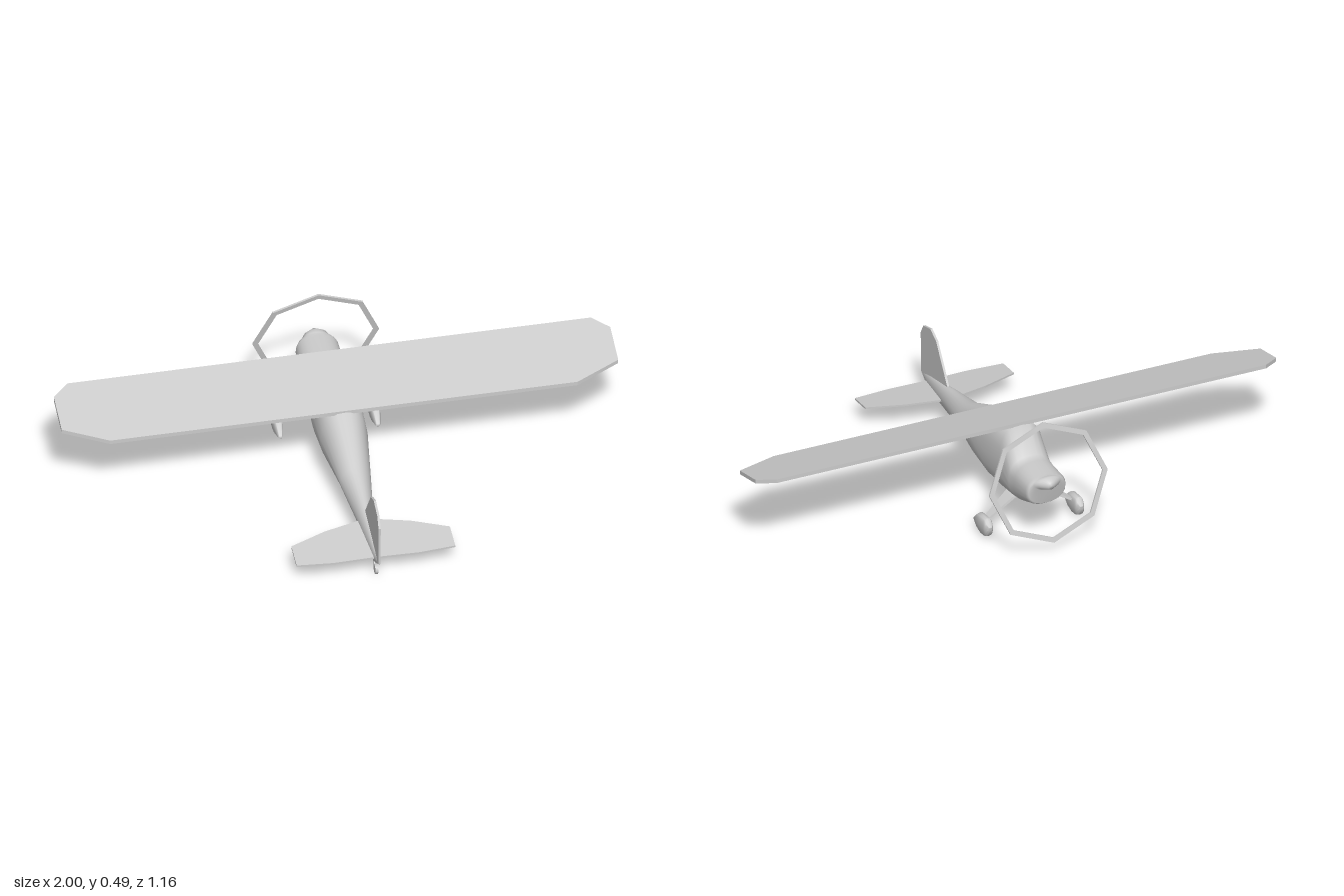
import * as THREE from 'three';
import { toCreasedNormals } from 'three/addons/utils/BufferGeometryUtils.js';

const material = new THREE.MeshStandardMaterial({ color: 0xcccccc, side: THREE.DoubleSide });

function part(name, geometry) {
  const mesh = new THREE.Mesh(geometry, material);
  mesh.name = name;
  return mesh;
}

// Loft of superellipse sections running from +z to -z.
// Section: [z, bottom y, top y, half width, roundness (2 = ellipse), half width at the top / half width]
function loft(sections, sides, x0 = 0) {
  const pos = [], index = [];
  for (const [z, yb, yt, w, n, topScale = 1] of sections) {
    for (let j = 0; j < sides; j++) {
      const a = (j / sides) * Math.PI * 2;
      const c = Math.cos(a), s = Math.sin(a);
      const u = Math.sign(c) * Math.abs(c) ** (2 / n);
      const v = Math.sign(s) * Math.abs(s) ** (2 / n);
      const narrow = 1 + (topScale - 1) * Math.max(0, v);
      pos.push(x0 + u * w * narrow, (yb + yt) / 2 + (v * (yt - yb)) / 2, z);
    }
  }
  for (let i = 0; i < sections.length - 1; i++) {
    for (let j = 0; j < sides; j++) {
      const k = (j + 1) % sides;
      const a = i * sides + j, b = (i + 1) * sides + j;
      const c = i * sides + k, d = (i + 1) * sides + k;
      index.push(a, b, c, c, b, d);
    }
  }
  const g = new THREE.BufferGeometry();
  g.setAttribute('position', new THREE.Float32BufferAttribute(pos, 3));
  g.setIndex(index);
  g.computeVertexNormals();
  return g;
}

function extrude(points, depth) {
  const shape = new THREE.Shape(points.map(([x, y]) => new THREE.Vector2(x, y)));
  return new THREE.ExtrudeGeometry(shape, { depth, bevelEnabled: false });
}

// Flat symmetric surface from its right-hand plan (x, z), tilted along z
function tiltedPlan(half, thickness, yAt) {
  const mirrored = half.map(([x, z]) => [-x, z]).reverse();
  const g = extrude([...half, ...mirrored], thickness).rotateX(Math.PI / 2);
  const p = g.attributes.position;
  for (let i = 0; i < p.count; i++) p.setY(i, p.getY(i) + yAt(p.getZ(i)));
  g.computeVertexNormals();
  return g;
}

// Box whose top and bottom faces have their own centre and size: [x, y, z, width, length]
function strut(top, bottom) {
  const g = new THREE.BoxGeometry(1, 1, 1);
  const p = g.attributes.position;
  for (let i = 0; i < p.count; i++) {
    const [x, y, z, w, l] = p.getY(i) > 0 ? top : bottom;
    p.setXYZ(i, x + p.getX(i) * w, y, z + p.getZ(i) * l);
  }
  g.computeVertexNormals();
  return g;
}

export function createModel() {
  const model = new THREE.Group();
  model.name = 'airplane';

  // Body from tail to nose, with the cabin rising to the wing
  model.add(part('fuselage', loft([
    [0.575, 0.083, 0.09, 0.002, 2],
    [0.515, 0.049, 0.11, 0.01, 2],
    [0.31, 0.065, 0.165, 0.033, 2],
    [0.16, 0.097, 0.198, 0.056, 2.2, 0.8],
    [-0.0375, 0.09, 0.297, 0.085, 2.6, 0.8],
    [-0.16, 0.092, 0.332, 0.09, 3, 0.9],
    [-0.29, 0.103, 0.374, 0.088, 3, 0.85],
    [-0.37, 0.116, 0.286, 0.082, 2.5],
    [-0.41, 0.125, 0.286, 0.08, 2.4],
    [-0.505, 0.168, 0.288, 0.077, 2.4],
    [-0.518, 0.178, 0.288, 0.07, 2.3],
    [-0.522, 0.235, 0.29, 0.052, 2],
    [-0.537, 0.243, 0.293, 0.042, 2],
    [-0.558, 0.254, 0.282, 0.012, 2],
    [-0.56, 0.268, 0.268, 0, 2],
  ], 24)));

  // Wing with clipped tips
  model.add(part('wing', tiltedPlan(
    [[0.94, -0.294], [1, -0.245], [1, -0.107], [0.84, -0.0375]],
    0.015,
    (z) => 0.304 + ((-0.0375 - z) / 0.2565) * 0.077)));

  // Tail surfaces
  model.add(part('tailplane', tiltedPlan(
    [[0.03, 0.345], [0.155, 0.375], [0.285, 0.425], [0.285, 0.518], [0.155, 0.528], [0.02, 0.525]],
    0.007,
    (z) => 0.11 - ((z - 0.34) / 0.19) * 0.031)));
  model.add(part('fin', extrude(
    [[0.515, 0.05], [0.578, 0.088], [0.582, 0.247], [0.56, 0.287], [0.497, 0.309],
      [0.447, 0.288], [0.384, 0.203], [0.35, 0.155], [0.37, 0.1]],
    0.008).rotateY(-Math.PI / 2).translate(0.004, 0, 0)));

  // Propeller disc rim: a tilted eight-sided ring
  const rim = new THREE.Shape();
  const hole = new THREE.Path();
  const corners = (r) => Array.from({ length: 8 }, (_, i) =>
    new THREE.Vector2(Math.sin((i * Math.PI) / 4) * r, Math.cos((i * Math.PI) / 4) * r));
  rim.setFromPoints(corners(0.227));
  hole.setFromPoints(corners(0.208));
  rim.holes.push(hole);
  model.add(part('propellerRing', new THREE.ExtrudeGeometry(rim, { depth: 0.007, bevelEnabled: false })
    .translate(0, 0, -0.0035).rotateX(0.22).translate(0, 0.267, -0.53)));

  // Main landing gear on both sides
  for (const [side, s] of [['left', 1], ['right', -1]]) {
    const gear = new THREE.Group();
    gear.name = side + 'LandingGear';
    gear.add(part('wheelFairing', toCreasedNormals(loft([
      [-0.287, 0.025, 0.025, 0, 2.5],
      [-0.29, 0.02, 0.032, 0.008, 2.5],
      [-0.333, 0.006, 0.073, 0.017, 3],
      [-0.36, 0.003, 0.078, 0.018, 3],
      [-0.395, 0.01, 0.083, 0.018, 3],
      [-0.408, 0.018, 0.073, 0.016, 3],
      [-0.423, 0.05, 0.062, 0.008, 2.5],
      [-0.424, 0.057, 0.057, 0, 2.5],
    ], 12, s * 0.175), 0.9)));
    gear.add(part('gearLeg', strut(
      [s * 0.055, 0.125, -0.335, 0.02, 0.055],
      [s * 0.17, 0.058, -0.363, 0.014, 0.022])));
    model.add(gear);
  }

  // Tail wheel and its fork
  const tailGear = new THREE.Group();
  tailGear.name = 'tailGear';
  tailGear.add(part('tailWheel', new THREE.CylinderGeometry(0.019, 0.019, 0.01, 8)
    .rotateZ(Math.PI / 2).translate(0, 0.022, 0.517)));
  tailGear.add(part('tailWheelFork', strut(
    [0, 0.06, 0.475, 0.008, 0.025],
    [0, 0.024, 0.51, 0.008, 0.015])));
  model.add(tailGear);

  return model;
}
